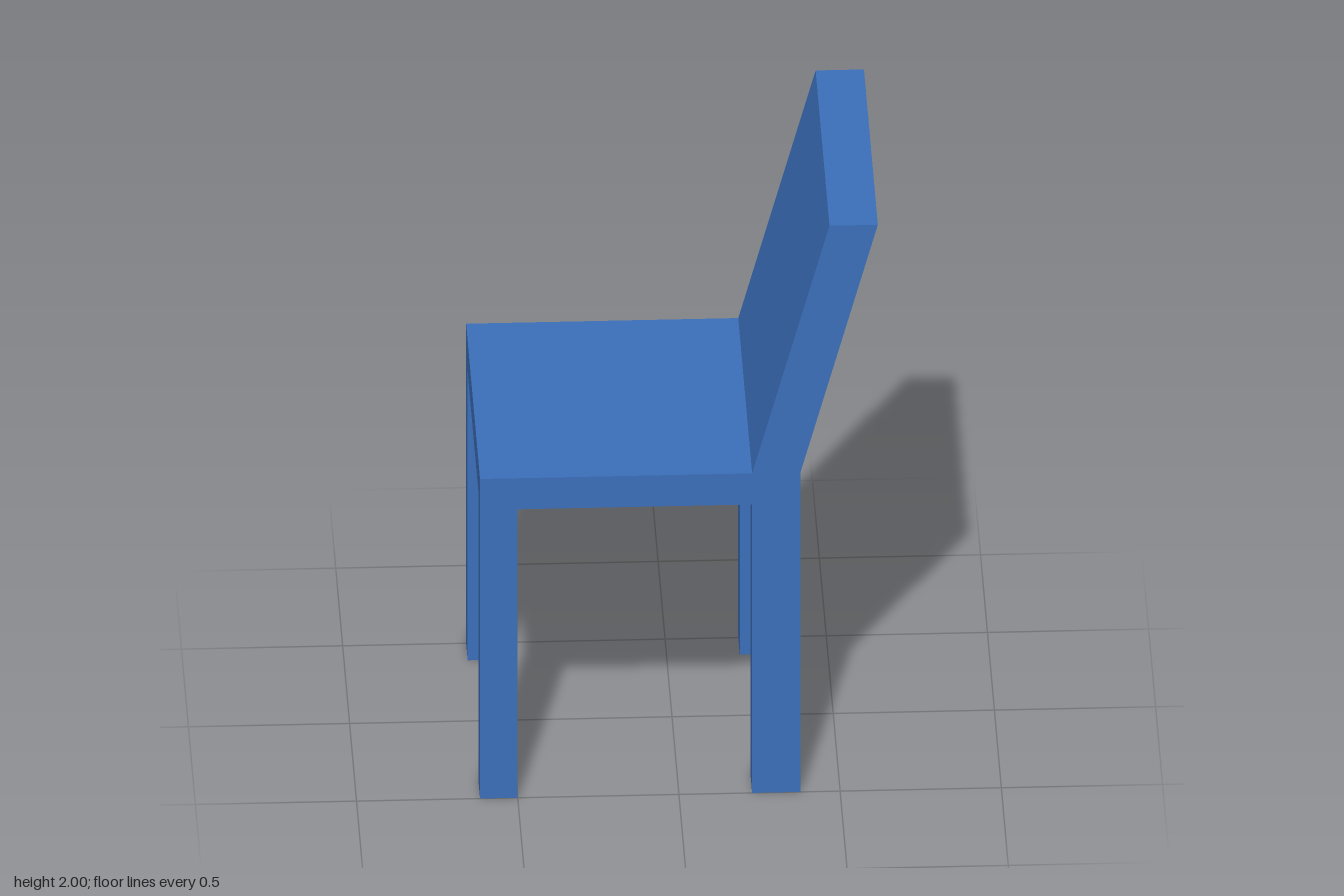
import * as THREE from 'three';

export function createModel() {
  const group = new THREE.Group();
  const material = new THREE.MeshStandardMaterial({ color: 0x3b6fba, flatShading: true });
  const depth = 1;
  const legDepth = 0.11;
  const seatBottom = 1.02;
  const seatTop = 1.13;
  const frontX = -0.617;
  const backInner = 0.227;
  const backOuter = 0.377;
  const lean = 0.24;

  // Extrudes a side profile (x, y) along z, starting at z0
  function addProfile(name, points, z0, length) {
    const shape = new THREE.Shape(points.map(([x, y]) => new THREE.Vector2(x, y)));
    const geometry = new THREE.ExtrudeGeometry(shape, { depth: length, bevelEnabled: false });
    geometry.translate(0, 0, z0);
    const mesh = new THREE.Mesh(geometry, material);
    mesh.name = name;
    group.add(mesh);
  }

  // Seat slab
  addProfile('seat', [
    [frontX, seatBottom], [backOuter, seatBottom], [backOuter, seatTop], [frontX, seatTop],
  ], -depth / 2, depth);

  // Backrest, leaning outward from the seat's rear edge
  addProfile('backrest', [
    [backInner, seatTop], [backOuter, seatTop], [backOuter + lean, 2], [backInner + lean, 2],
  ], -depth / 2, depth);

  // Two slim front legs and two wider rear legs
  const legs = [['frontLeg', frontX, -0.5], ['rearLeg', backInner, backOuter]];
  for (const [name, x0, x1] of legs) {
    for (const [side, z0] of [['Left', -depth / 2], ['Right', depth / 2 - legDepth]]) {
      addProfile(name + side, [[x0, 0], [x1, 0], [x1, seatBottom], [x0, seatBottom]], z0, legDepth);
    }
  }

  return group;
}
